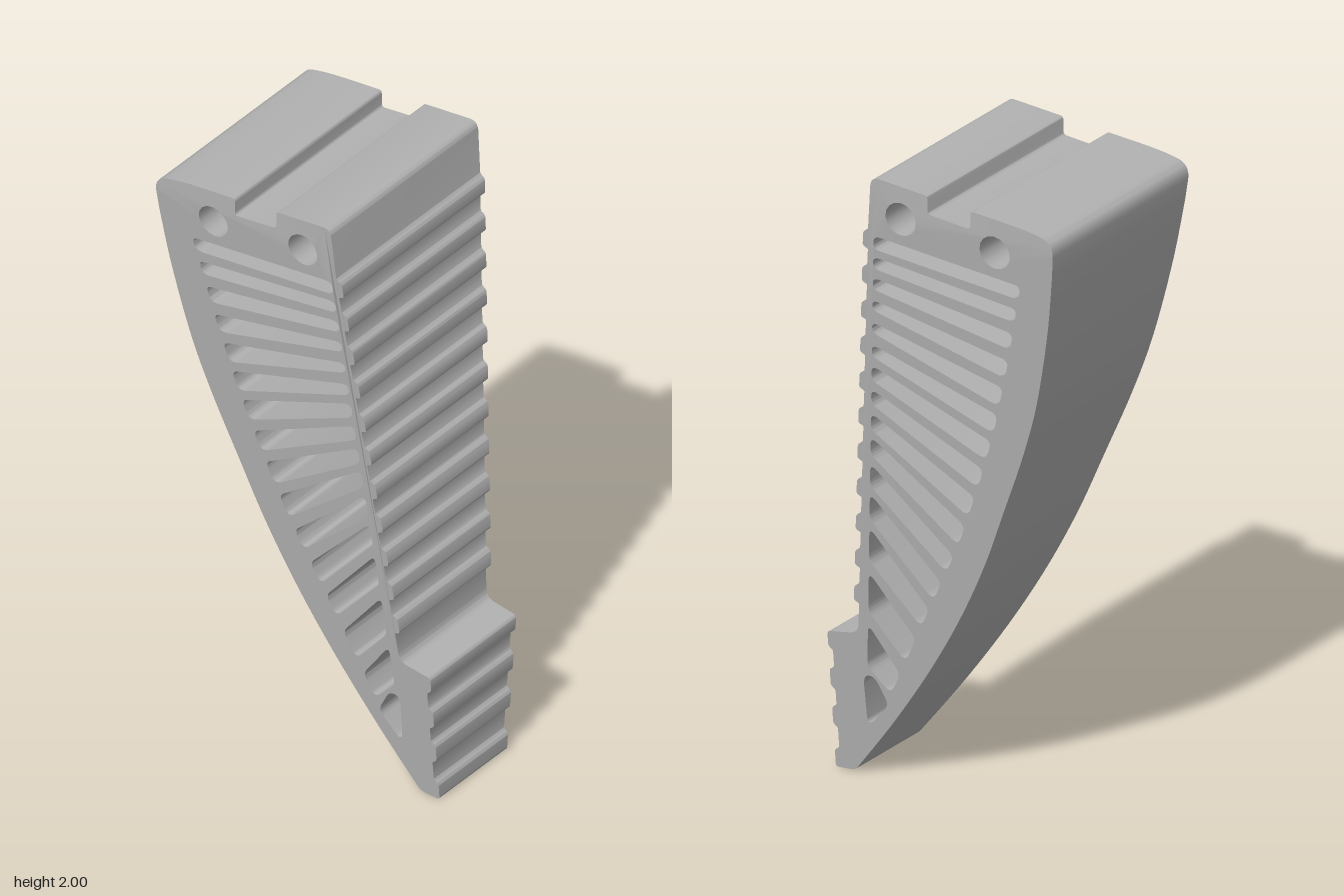
import * as THREE from 'three';
import { toCreasedNormals } from 'three/addons/utils/BufferGeometryUtils.js';

// Closed outline through [x, y, cornerRadius] points; corners become short curves.
function roundedPath(points, path) {
  const n = points.length;
  points.forEach(([x, y, r = 0], i) => {
    const here = new THREE.Vector2(x, y);
    const toward = ([px, py]) => {
      const d = new THREE.Vector2(px - x, py - y);
      return d.multiplyScalar(Math.min(r, d.length() * 0.45) / d.length()).add(here);
    };
    const a = toward(points[(i + n - 1) % n]);
    const b = toward(points[(i + 1) % n]);
    if (i === 0) path.moveTo(a.x, a.y);
    else path.lineTo(a.x, a.y);
    if (r > 0) path.quadraticCurveTo(x, y, b.x, b.y);
  });
  path.closePath();
  return path;
}

// Gripping face: a leaning line carrying evenly spaced ridges.
const gripX = (y) => 0.2 + (1.83 - y) * 0.094;

function outline() {
  const pts = [[0.37, 0.006, 0.02], [0.438, 0, 0.012]];
  // Ridges of the fingertip foot
  const foot = [[0, 0.06], [0.14, 0.2], [0.265, 0.325], [0.395, 0.447]];
  foot.forEach(([lo, hi], i) => {
    if (i > 0) pts.push([0.422, lo - 0.008, 0.006], [0.438, lo + 0.004, 0.008]);
    if (i < 3) pts.push([0.438, hi - 0.004, 0.008], [0.422, hi + 0.008, 0.006]);
  });
  pts.push([0.438, 0.447, 0.012], [0.328, 0.466, 0.03]);
  // Ridges up the gripping face
  for (let i = 0; i < 11; i++) {
    const lo = 0.57 + i * 0.1195, hi = lo + 0.055;
    pts.push(
      [gripX(lo), lo - 0.004, 0.004], [gripX(lo) + 0.018, lo + 0.004, 0.008],
      [gripX(hi) + 0.018, hi - 0.004, 0.008], [gripX(hi), hi + 0.008, 0.006]);
  }
  // Top edge with the mounting channel
  pts.push(
    [0.186, 2.0, 0.03], [-0.012, 1.984, 0.012], [-0.012, 1.927, 0.012],
    [-0.163, 1.913, 0.012], [-0.163, 1.971, 0.012],
    [-0.36, 1.956, 0.07], [-0.455, 1.935, 0.075]);
  // Bowed back
  const back = new THREE.SplineCurve([
    [-0.445, 1.83], [-0.415, 1.63], [-0.362, 1.39], [-0.3, 1.2], [-0.22, 1.0],
    [-0.138, 0.8], [-0.038, 0.6], [0.082, 0.4], [0.22, 0.2], [0.358, 0.02],
  ].map(([x, y]) => new THREE.Vector2(x, y)));
  back.getPoints(40).forEach((p) => pts.push([p.x, p.y]));
  return pts;
}

// Inner edges of the slots: back side from a few points, grip side straight.
const inner = [[1.77, -0.33], [1.5, -0.268], [1.25, -0.2], [1.05, -0.13],
  [0.84, -0.047], [0.57, 0.088], [0.28, 0.23]];
function backX(y) {
  let i = 0;
  while (i < inner.length - 2 && y < inner[i + 1][0]) i++;
  const [y0, x0] = inner[i], [y1, x1] = inner[i + 1];
  return x0 + (x1 - x0) * (y - y0) / (y1 - y0);
}
const frontX = (y) => 0.183 + (1.81 - y) * 0.083;

// Slot heights: back top, back bottom, grip top, grip bottom
const slots = [
  [1.765, 1.72, 1.81, 1.765], [1.685, 1.64, 1.74, 1.7],
  [1.6, 1.545, 1.67, 1.63], [1.505, 1.445, 1.595, 1.56],
  [1.41, 1.345, 1.52, 1.485], [1.315, 1.25, 1.445, 1.405],
  [1.22, 1.155, 1.375, 1.325], [1.12, 1.055, 1.295, 1.245],
  [1.02, 0.95, 1.215, 1.16], [0.915, 0.845, 1.135, 1.075],
  [0.805, 0.745, 1.045, 0.97], [0.705, 0.64, 0.945, 0.86],
  [0.605, 0.54, 0.83, 0.72], [0.495, 0.41, 0.68, 0.55],
  [0.365, 0.29, 0.505, 0.365],
];

export function createModel() {
  const grey = new THREE.MeshStandardMaterial({ color: 0xb2b2b2 });
  grey.name = 'grey plastic';

  const shape = roundedPath(outline(), new THREE.Shape());
  // Rib slots
  for (const [bt, bb, ft, fb] of slots) {
    shape.holes.push(roundedPath([
      [backX(bt), bt, 0.022], [backX(bb), bb, 0.03],
      [frontX(fb), fb, 0.022], [frontX(ft), ft, 0.03],
    ], new THREE.Path()));
  }
  // Small slot at the tip
  shape.holes.push(roundedPath([
    [0.235, 0.25, 0.025], [0.315, 0.16, 0.04], [0.32, 0.33, 0.04], [0.28, 0.335, 0.03],
  ], new THREE.Path()));
  // Mounting pin holes
  for (const [x, y] of [[-0.245, 1.857], [0.083, 1.887]]) {
    shape.holes.push(new THREE.Path().absarc(x, y, 0.053, 0, Math.PI * 2, true));
  }

  const geo = new THREE.ExtrudeGeometry(shape, { depth: 2, bevelEnabled: false, curveSegments: 8 });
  geo.translate(0, 0, -1);
  // Narrow the body toward the tip
  const pos = geo.attributes.position;
  for (let i = 0; i < pos.count; i++) {
    const half = 0.165 + 0.195 * Math.min(pos.getY(i) / 1.9, 1);
    pos.setZ(i, pos.getZ(i) * half);
  }

  const finger = new THREE.Mesh(toCreasedNormals(geo, 0.5), grey);
  finger.name = 'ribbedGripperFinger';
  const group = new THREE.Group();
  group.name = 'gripperFinger';
  group.add(finger);
  return group;
}
